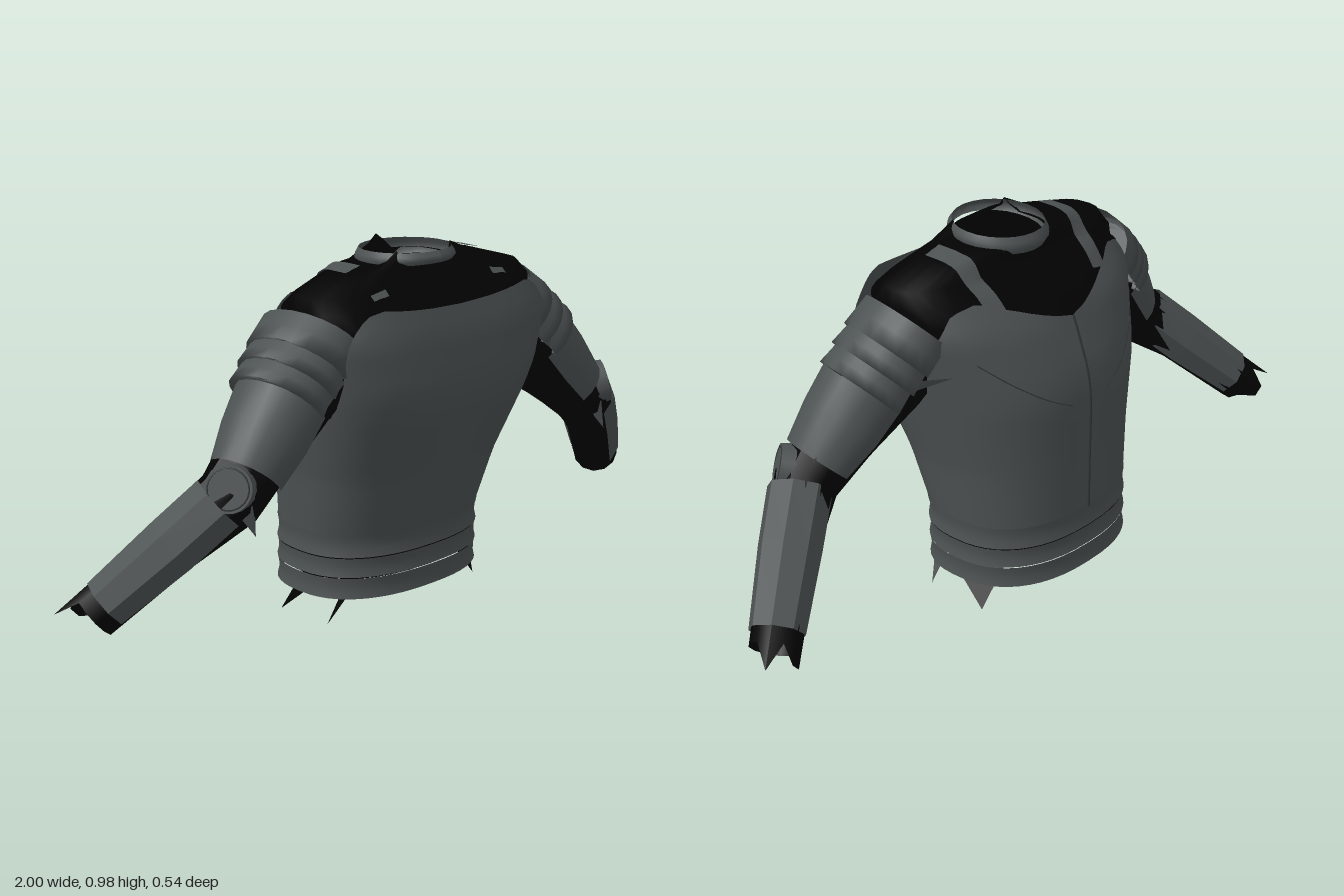
import * as THREE from 'three';

const material = (name, color) => new THREE.MeshStandardMaterial({ name, color, side: THREE.DoubleSide });
const plateGrey = material('plate grey', 0x4c5151);
const suitBlack = material('undersuit black', 0x020202);
const seamDark = material('seam dark grey', 0x303434);

const { sin, cos, abs, sign, pow, PI } = Math;
const rad = (d) => (d * PI) / 180;

// Linear interpolation in rows of [key, ...values]
function lut(rows, key) {
  let i = 1;
  while (i < rows.length - 1 && rows[i][0] < key) i++;
  const a = rows[i - 1], b = rows[i];
  const t = THREE.MathUtils.clamp((key - a[0]) / (b[0] - a[0]), 0, 1);
  return a.slice(1).map((v, k) => v + (b[k + 1] - v) * t);
}

// Surface swept by fn(s, t), with s and t running from 0 to 1
function grid(nu, nv, fn, flat = false) {
  const pos = [], index = [];
  for (let j = 0; j <= nv; j++)
    for (let i = 0; i <= nu; i++) pos.push(...fn(i / nu, j / nv));
  for (let j = 0; j < nv; j++)
    for (let i = 0; i < nu; i++) {
      const a = j * (nu + 1) + i, c = a + nu + 1;
      index.push(a, a + 1, c, a + 1, c + 1, c);
    }
  let g = new THREE.BufferGeometry();
  g.setAttribute('position', new THREE.Float32BufferAttribute(pos, 3));
  g.setIndex(index);
  if (flat) g = g.toNonIndexed();
  g.computeVertexNormals();
  return g;
}

function triangle(...corners) {
  const g = new THREE.BufferGeometry();
  g.setAttribute('position', new THREE.Float32BufferAttribute(corners.flat(), 3));
  g.computeVertexNormals();
  return g;
}

function add(parent, name, geometry, mat) {
  const m = new THREE.Mesh(geometry, mat);
  m.name = name;
  parent.add(m);
  return m;
}

// Body sections: y, half width, front z, back z, centre z, front squareness
const plateRows = [
  [0.07, 0.28, 0.142, -0.268, -0.05, 2.4], [0.24, 0.28, 0.15, -0.265, -0.05, 2.4],
  [0.4, 0.3, 0.2, -0.265, -0.02, 2.6], [0.58, 0.34, 0.265, -0.265, 0.02, 3.1],
  [0.65, 0.355, 0.275, -0.25, 0.03, 3.5], [0.78, 0.388, 0.262, -0.2, 0.04, 4],
  [0.86, 0.365, 0.24, -0.138, 0.05, 3.6],
];
const suitRows = [
  [0.127, 0.273, 0.136, -0.259, -0.05, 2.4], [0.25, 0.27, 0.139, -0.255, -0.05, 2.4],
  [0.4, 0.285, 0.185, -0.25, -0.02, 2.6], [0.55, 0.32, 0.24, -0.24, 0.015, 3],
  [0.7, 0.338, 0.255, -0.205, 0.03, 3.2], [0.8, 0.362, 0.235, -0.155, 0.04, 3.1],
  [0.85, 0.385, 0.21, -0.11, 0.05, 3], [0.885, 0.365, 0.175, -0.062, 0.05, 2.8],
  [0.925, 0.23, 0.145, -0.06, 0.04, 2.6], [0.95, 0.113, 0.125, -0.06, 0.035, 4],
];

// Point on a body section; angle 0 is the front, 90 the left side
function onBody(rows, deg, y, grow = 0) {
  const [rx, zf, zb, zc, nf] = lut(rows, y);
  const s = sin(rad(deg)), c = cos(rad(deg));
  const e = 2 / (c > 0 ? nf : 2.4);
  const rz = c > 0 ? zf - zc : zc - zb;
  return [sign(s) * pow(abs(s), e) * (rx + grow), y, zc + sign(c) * pow(abs(c), e) * (rz + grow)];
}

// Height of the undersuit's upper surface
function suitTop(x, z) {
  for (let y = 0.95; y > 0.7; y -= 0.002) {
    const [rx, zf, zb, zc, nf] = lut(suitRows, y);
    const n = z > zc ? nf : 2.4, rz = z > zc ? zf - zc : zc - zb;
    if (pow(abs(x / rx), n) + pow(abs((z - zc) / rz), n) <= 1) return y;
  }
  return 0.7;
}

// Sleeve through rows of [x, y, z, outer radius, side radius] from angle a0 to a1
function sleeve(rows, a0, a1, seg, flat = false, reach = () => 0) {
  const P = rows.map((r) => new THREE.Vector3(r[0], r[1], r[2]));
  const last = rows.length - 1;
  return grid(seg, last, (s, t) => {
    const j = Math.round(t * last), [, , , ru, rw] = rows[j];
    const d = P[Math.min(j + 1, last)].clone().sub(P[Math.max(j - 1, 0)]).normalize();
    const u = new THREE.Vector3(0, 1, 0).addScaledVector(d, -d.y).normalize();
    const w = d.clone().cross(u);
    const a = rad(a0 + (a1 - a0) * s);
    return P[j].clone().addScaledVector(u, cos(a) * ru).addScaledVector(w, sin(a) * rw)
      .addScaledVector(d, j === last ? reach(a) : 0).toArray();
  }, flat);
}

function seam(parent, name, points, radius) {
  const curve = new THREE.CatmullRomCurve3(points.map((p) => new THREE.Vector3(...p)));
  add(parent, name, new THREE.TubeGeometry(curve, 24, radius, 5), seamDark);
}

// One arm with the shoulder strap and hem points of its side
function buildArm() {
  const arm = new THREE.Group();
  // Undersuit sleeve with a ragged cuff
  const cuff = (a) => (cos(a) > 0.95 ? 0.1 : sin(a) < -0.8 && cos(a) > -0.1 ? 0.075 : 0.03);
  add(arm, 'undersuitSleeve', sleeve([
    [0.29, 0.73, 0.06, 0.145, 0.11], [0.4, 0.66, 0.065, 0.12, 0.105], [0.51, 0.565, 0.085, 0.1, 0.095],
    [0.64, 0.45, 0.1, 0.084, 0.08], [0.76, 0.345, 0.035, 0.068, 0.07], [0.9, 0.205, -0.06, 0.064, 0.064],
  ], 0, 360, 12, false, cuff), suitBlack);

  // Three overlapping shoulder bands, each flared at its lower edge
  for (const [p, q, r] of [[0, 0.44, 0], [0.42, 0.72, 0.002], [0.7, 1, 0.002]]) {
    const row = (t, f) => [0.325 + 0.14 * t, 0.785 - 0.14 * t, 0.05 + 0.025 * t, 0.112 + f, 0.146 - 0.024 * t + f];
    add(arm, 'shoulderBand', sleeve([row(p, r - 0.006), row((p + q) / 2, r), row(q, r + 0.006),
      row(q - 0.01, r - 0.008)], -105, 105, 12), plateGrey);
  }
  // Upper arm plate with pointed corners
  add(arm, 'upperArmPlate', sleeve([
    [0.455, 0.645, 0.078, 0.112, 0.12], [0.52, 0.57, 0.09, 0.108, 0.112], [0.592, 0.492, 0.104, 0.09, 0.094],
  ], -112, 112, 12), plateGrey);
  add(arm, 'frontPlateCorner', triangle([0.335, 0.7, 0.185], [0.42, 0.63, 0.19], [0.46, 0.69, 0.195]), plateGrey);
  add(arm, 'backPlateCorner', triangle([0.335, 0.69, -0.11], [0.43, 0.69, -0.035], [0.41, 0.65, -0.03]), plateGrey);

  // Forearm plate and elbow guard
  add(arm, 'forearmPlate', sleeve([
    [0.665, 0.445, 0.095, 0.078, 0.082], [0.76, 0.347, 0.034, 0.078, 0.08], [0.895, 0.212, -0.056, 0.068, 0.07],
  ], -135, 135, 6, true), plateGrey);
  const elbow = new THREE.Group();
  elbow.name = 'elbowGuard';
  elbow.position.set(0.67, 0.49, 0.138);
  elbow.quaternion.setFromUnitVectors(new THREE.Vector3(0, 1, 0), new THREE.Vector3(0.74, 0.26, 0.62).normalize());
  add(elbow, 'elbowDisc', new THREE.CylinderGeometry(0.058, 0.063, 0.04, 20), plateGrey);
  add(elbow, 'elbowRing', new THREE.TorusGeometry(0.05, 0.002, 5, 20).rotateX(PI / 2).translate(0, 0.02, 0), seamDark);
  arm.add(elbow);
  const tab = add(arm, 'elbowTab', new THREE.ConeGeometry(0.03, 0.07, 4), plateGrey);
  tab.position.set(0.635, 0.405, 0.17);
  tab.rotation.set(2.6, 0, 0);

  // Strap over the shoulder and its short front end
  for (const [z0, z1] of [[-0.13, 0.075], [0.164, 0.178]])
    add(arm, 'shoulderStrap', grid(4, 14, (s, t) => {
      const z = z1 + (z0 - z1) * t, x = 0.185 + 0.05 * s + (z < 0 ? z * 0.15 : 0);
      return [x, suitTop(x, z) + 0.006, z];
    }), plateGrey);

  // Undersuit points hanging below the waist
  add(arm, 'frontHemPoint', triangle([0.272, 0.005, 0.038], onBody(suitRows, 42, 0.14, -0.006), [0.17, 0.14, 0.03]), suitBlack);
  add(arm, 'backHemPoint', triangle([0.272, 0, -0.14], onBody(suitRows, 68, 0.14, -0.006), [0.14, 0.14, -0.14]), suitBlack);
  return arm;
}

export function createModel() {
  const model = new THREE.Group();
  model.name = 'bodyArmour';

  // Undersuit with peaks around the neck
  const rows = suitRows.length - 1;
  const neckline = [[0, 0.952], [3, 0.952], [4, 0.968], [5, 0.95], [7, 0.932], [14, 0.932], [16, 0.975]];
  add(model, 'undersuit', grid(32, rows, (s, t) => {
    const j = Math.round(t * rows);
    const p = onBody(suitRows, s * 360 - 180, suitRows[j][0]);
    if (j === rows) p[1] = lut(neckline, abs(s * 32 - 16))[0];
    return p;
  }), suitBlack);

  // Chest and back plate in one shell, cut away under the arms
  const topEdge = [[0, 0.843], [30, 0.86], [42, 0.85], [50, 0.815], [57, 0.77], [66, 0.67], [76, 0.58], [88, 0.56],
    [96, 0.61], [104, 0.7], [115, 0.78], [126, 0.84], [142, 0.857], [160, 0.82], [180, 0.77]];
  add(model, 'chestAndBackPlate', grid(72, 18, (s, t) => {
    const deg = -180 + 360 * s;
    return onBody(plateRows, deg, 0.24 + (lut(topEdge, abs(deg))[0] - 0.24) * t);
  }), plateGrey);

  // Waist bands with a small flare
  for (const [lo, hi] of [[0.188, 0.247], [0.134, 0.185], [0.075, 0.131]])
    add(model, 'waistBand', grid(48, 3, (s, t) =>
      onBody(plateRows, -180 + 360 * s, lo + (hi - lo) * t, [0.003, -0.001, -0.001, 0.002][Math.round(t * 3)])), plateGrey);

  // Back seams
  seam(model, 'spineSeam', [0.24, 0.4, 0.55, 0.62, 0.7, 0.77].map((y) => onBody(plateRows, 180, y, 0.002)), 0.003);
  for (const side of [-1, 1])
    seam(model, 'bladeSeam', [[172, 0.56], [160, 0.6], [145, 0.66], [132, 0.72]]
      .map(([a, y]) => onBody(plateRows, side * a, y)), 0.0016);

  // Collar ring, slightly lower at the back
  add(model, 'collar', grid(24, 3, (s, t) => {
    const a = 2 * PI * s, r = [0.123, 0.132, 0.128, 0.12][Math.round(t * 3)];
    return [sin(a) * r * 0.96, 0.922 + 0.012 * cos(a) + t * (0.038 - 0.008 * cos(a)), 0.045 + cos(a) * r];
  }), plateGrey);

  // Arms
  const left = buildArm();
  left.name = 'leftArm';
  const right = buildArm();
  right.name = 'rightArm';
  right.scale.x = -1;
  model.add(left, right);
  return model;
}
